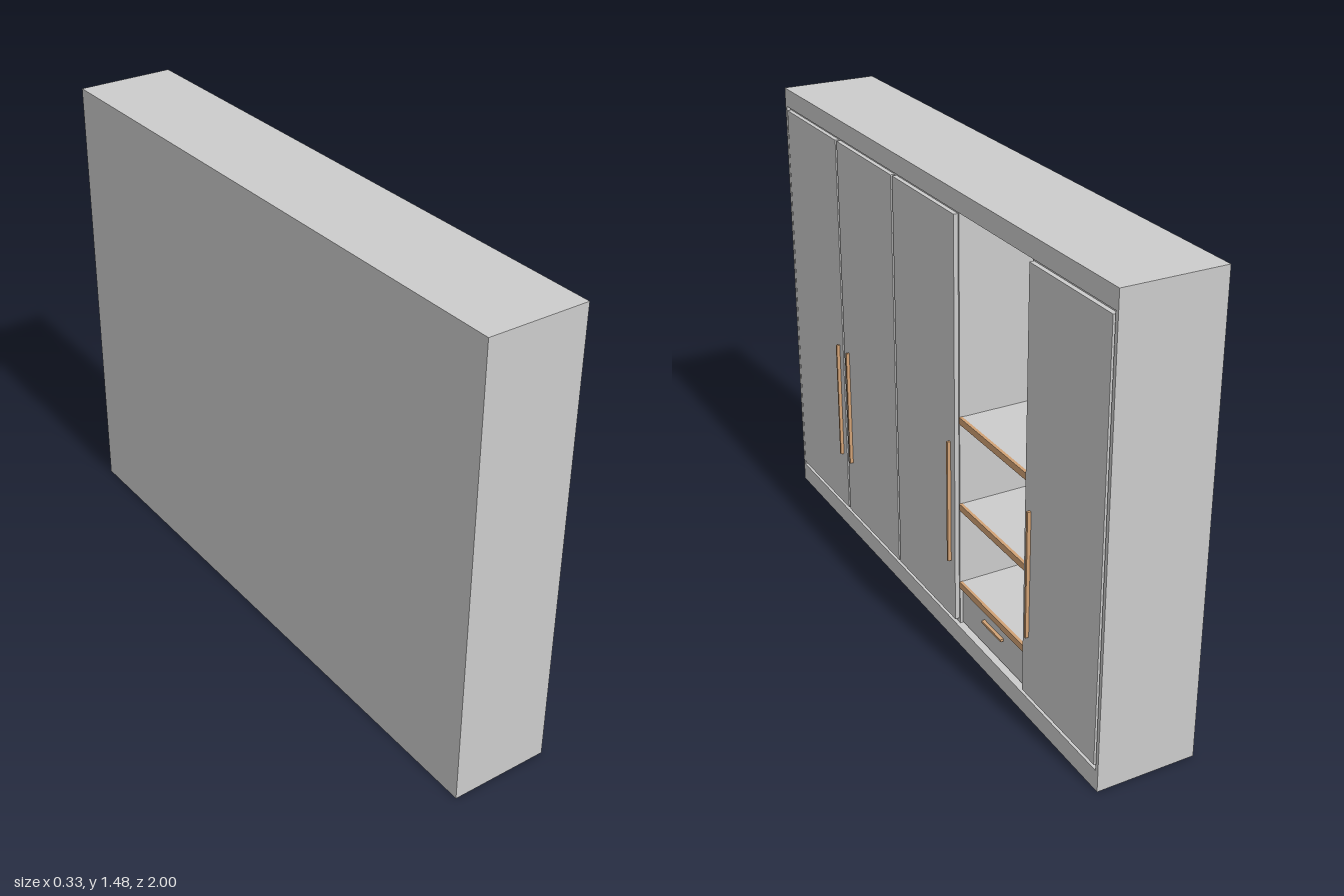
import * as THREE from 'three';

export function createModel() {
  const root = new THREE.Group();
  const panel = new THREE.MeshStandardMaterial({ color: 0xcccccc });
  panel.name = 'grey panel';
  const wood = new THREE.MeshStandardMaterial({ color: 0xd2a275 });
  wood.name = 'warm wood';

  // Box given by its limits along x, y and z
  function box(name, mat, x0, x1, y0, y1, z0, z1, parent = root) {
    const m = new THREE.Mesh(new THREE.BoxGeometry(x1 - x0, y1 - y0, z1 - z0), mat);
    m.position.set((x0 + x1) / 2, (y0 + y1) / 2, (z0 + z1) / 2);
    m.name = name;
    parent.add(m);
    return m;
  }

  const back = -0.167, front = 0.152, inner = -0.13, recess = 0.14;
  const height = 1.475, low = 0.065, high = 1.415;
  const nicheA = -0.59, nicheB = -0.195;

  // Outer case
  const carcass = new THREE.Group();
  carcass.name = 'case';
  root.add(carcass);
  box('plinth', panel, back, front, 0, low, -1, 1, carcass);
  box('topPanel', panel, back, front, high, height, -1, 1, carcass);
  box('backPanel', panel, back, inner, low, high, -1, 1, carcass);
  for (const s of [-1, 1]) {
    const z = s * 0.994;
    box('sidePanel', panel, inner, front, low, high, z - 0.006, z + 0.006, carcass);
  }

  // Closed compartments behind the doors
  box('wideCompartment', panel, inner, recess, low, high, nicheB, 0.988, carcass);
  box('narrowCompartment', panel, inner, recess, low, high, -0.988, nicheA, carcass);

  // Doors with their long vertical handles: [z start, z end, handle z]
  const doors = [
    [0.597, 0.981, 0.628],
    [0.203, 0.587, 0.552],
    [-0.189, 0.193, -0.16],
    [-0.981, -0.597, -0.625],
  ];
  for (const [z0, z1, h] of doors) {
    const door = new THREE.Group();
    door.name = 'door';
    root.add(door);
    box('doorPanel', panel, recess, 0.154, 0.08, 1.403, z0, z1, door);
    box('doorHandle', wood, 0.154, 0.165, 0.28, 0.69, h - 0.004, h + 0.004, door);
  }

  // Open shelves with wooden front edging
  for (const y of [0.78, 0.49, 0.215]) {
    box('shelf', panel, inner, 0.132, y - 0.02, y, nicheA, nicheB);
    box('shelfEdge', wood, 0.132, 0.142, y - 0.021, y + 0.001, nicheA, nicheB);
  }

  // Drawer under the lowest shelf
  box('drawerFront', panel, inner, 0.132, 0.07, 0.195, nicheA + 0.002, nicheB - 0.002);
  box('drawerHandle', wood, 0.132, 0.143, 0.15, 0.158, -0.45, -0.335);

  return root;
}
